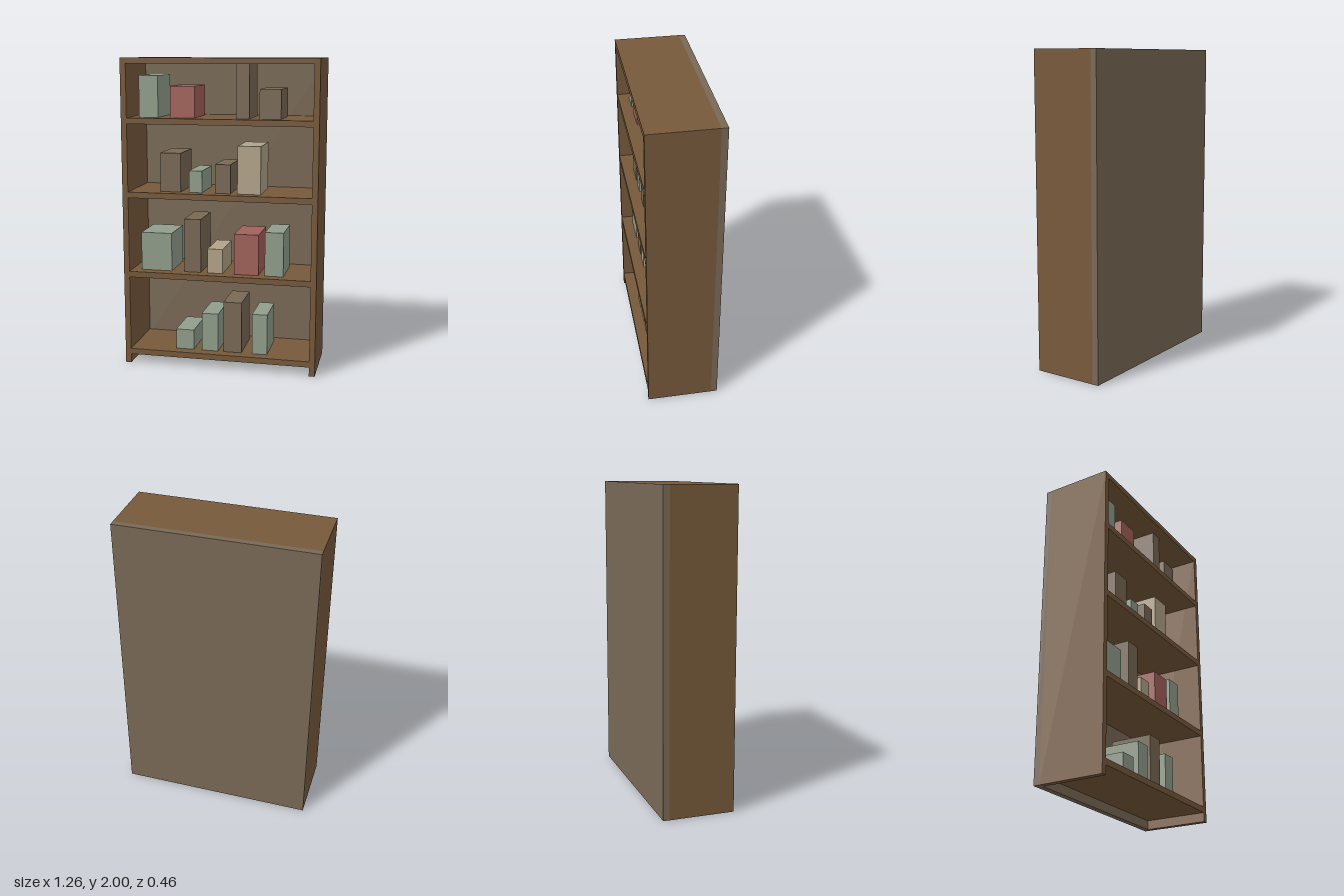
import * as THREE from 'three';

const paint = (name, color) => {
  const m = new THREE.MeshStandardMaterial({ color });
  m.name = name;
  return m;
};

export function createModel() {
  const brown = paint('walnut brown', 0x77593b);
  const taupe = paint('taupe', 0x796956);
  const sage = paint('sage green', 0x929e8c);
  const red = paint('dusty red', 0xa2615a);
  const cream = paint('cream', 0xb3a48a);

  const model = new THREE.Group();
  model.name = 'bookcase';

  // Box given by its limits on each axis
  const box = (parent, name, mat, [x0, x1], [y0, y1], [z0, z1]) => {
    const mesh = new THREE.Mesh(new THREE.BoxGeometry(x1 - x0, y1 - y0, z1 - z0), mat);
    mesh.position.set((x0 + x1) / 2, (y0 + y1) / 2, (z0 + z1) / 2);
    mesh.name = name;
    parent.add(mesh);
  };

  const W = 0.63, IN = 0.593, FRONT = 0.23, BACK = -0.23, PANEL = -0.19;

  // Carcass: two sides, top board and back panel
  box(model, 'leftSide', brown, [IN, W], [0, 2], [PANEL, FRONT]);
  box(model, 'rightSide', brown, [-W, -IN], [0, 2], [PANEL, FRONT]);
  box(model, 'topBoard', brown, [-IN, IN], [1.963, 2], [PANEL, FRONT]);
  box(model, 'backPanel', taupe, [-W, W], [0, 2], [BACK, PANEL]);

  // Shelves, each with its books: [x0, x1, top, material]
  const shelves = [
    { top: 0.097, books: [
      [-0.3, -0.18, 0.23, sage], [-0.125, -0.015, 0.35, sage],
      [0.02, 0.14, 0.435, taupe], [0.21, 0.31, 0.365, sage]] },
    { top: 0.625, books: [
      [-0.53, -0.325, 0.875, sage], [-0.24, -0.13, 0.975, taupe],
      [-0.085, 0.015, 0.785, cream], [0.09, 0.25, 0.89, red], [0.29, 0.41, 0.91, sage]] },
    { top: 1.15, books: [
      [-0.395, -0.26, 1.4, taupe], [-0.205, -0.12, 1.29, sage],
      [-0.035, 0.065, 1.335, taupe], [0.11, 0.26, 1.455, cream]] },
    { top: 1.625, books: [
      [-0.53, -0.405, 1.89, sage], [-0.325, -0.165, 1.825, red],
      [0.1, 0.185, 1.963, taupe], [0.25, 0.385, 1.81, taupe]] },
  ];
  shelves.forEach(({ top, books }, i) => {
    box(model, `shelf${i + 1}`, brown, [-IN, IN], [top - 0.038, top], [PANEL, FRONT]);
    const row = new THREE.Group();
    row.name = `bookRow${i + 1}`;
    books.forEach(([x0, x1, y1, mat], j) =>
      box(row, `book${j + 1}`, mat, [x0, x1], [top, y1], [-0.12, 0.16]));
    model.add(row);
  });

  return model;
}
